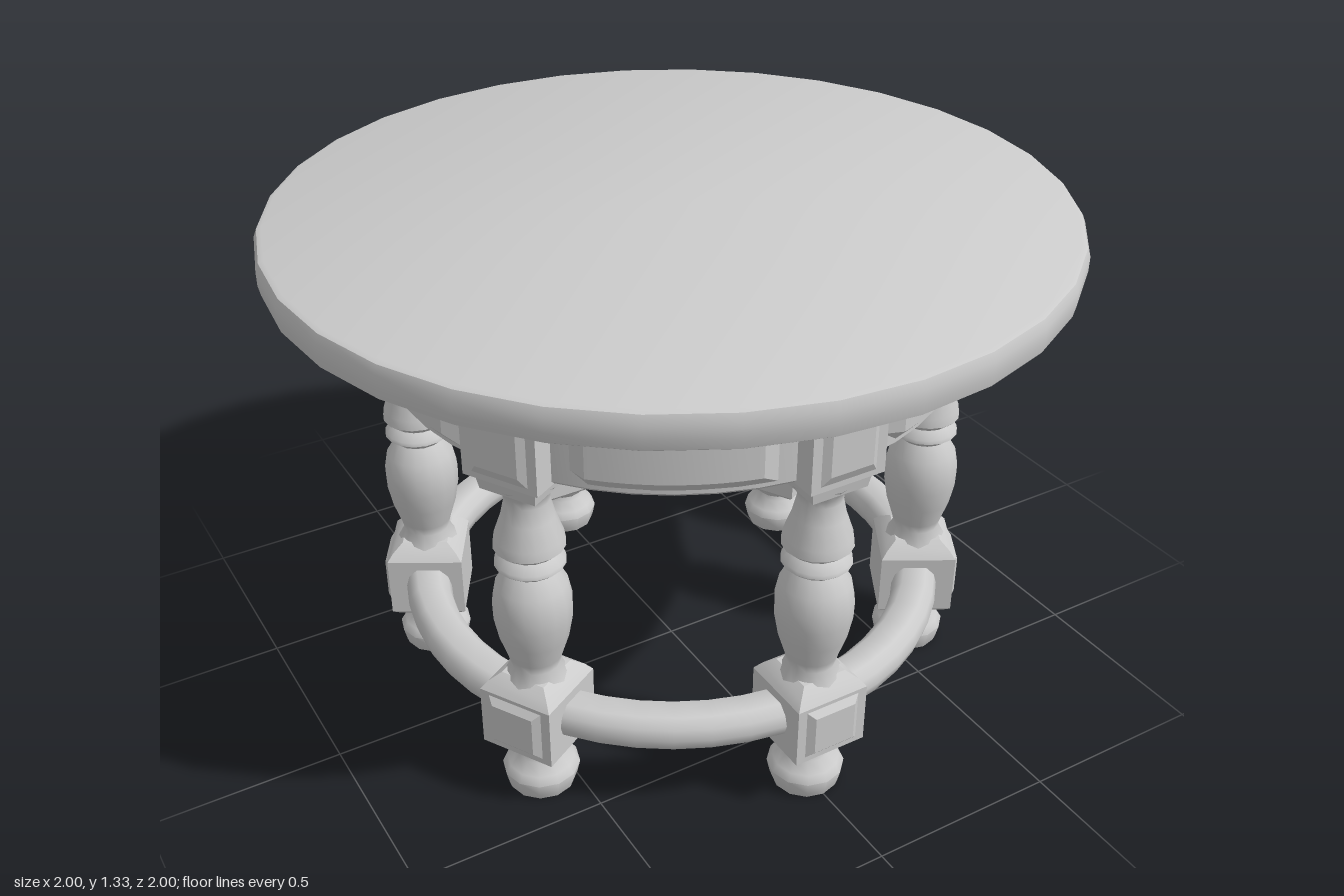
import * as THREE from 'three';
import { toCreasedNormals } from 'three/addons/utils/BufferGeometryUtils.js';

const material = new THREE.MeshStandardMaterial({ color: 0xcccccc });
const LEGS = 6;
const LEG_RADIUS = 0.67;

// Turned solid from [radius, y] pairs listed bottom to top
function turned(profile, sides, crease, start = 0, sweep = Math.PI * 2) {
  const points = profile.map(([r, y]) => new THREE.Vector2(r, y));
  return toCreasedNormals(new THREE.LatheGeometry(points, sides, start, sweep), crease);
}

// Square block from [half width, y] pairs
function squareBlock(profile) {
  return turned(profile.map(([h, y]) => [h * Math.SQRT2, y]), 4, 0.3, Math.PI / 4);
}

// Raised panel with bevelled sides, facing +z
function raisedPanel(width, height, depth) {
  const geometry = squareBlock([[0.5, 0], [0.38, depth], [0, depth]]);
  geometry.rotateX(Math.PI / 2);
  geometry.scale(width, height, 1);
  return toCreasedNormals(geometry, 0.3);
}

// Curved panel lying on the apron, its ends sloping back into the ring
function apronPanel() {
  const profile = [[0.715, 0.965], [0.745, 1.0], [0.745, 1.13], [0.715, 1.16]];
  const points = profile.map(([r, y]) => new THREE.Vector2(r, y));
  const segments = 10;
  const geometry = new THREE.LatheGeometry(
    points, segments, THREE.MathUtils.degToRad(11), THREE.MathUtils.degToRad(38));
  const position = geometry.attributes.position;
  for (let i = 0; i < position.count; i++) {
    const column = Math.floor(i / points.length);
    if (column > 0 && column < segments) continue;
    const k = 0.715 / Math.hypot(position.getX(i), position.getZ(i));
    position.setXYZ(i, position.getX(i) * k, position.getY(i), position.getZ(i) * k);
  }
  return toCreasedNormals(geometry, 0.4);
}

export function createModel() {
  const model = new THREE.Group();
  model.name = 'roundTable';

  const add = (parent, name, geometry, x = 0, y = 0, z = 0) => {
    const mesh = new THREE.Mesh(geometry, material);
    mesh.name = name;
    mesh.position.set(x, y, z);
    parent.add(mesh);
  };

  // Round top with a slightly eased edge
  add(model, 'tableTop', turned([
    [0, 1.235], [0.98, 1.235], [0.995, 1.245], [1, 1.27],
    [1, 1.305], [0.992, 1.325], [0.98, 1.33], [0, 1.33],
  ], 32, 0.6));

  // Apron ring under the top
  add(model, 'apron', turned([
    [0.63, 0.95], [0.71, 0.95], [0.72, 0.96], [0.72, 1.24], [0.63, 1.24], [0.63, 0.95],
  ], 48, 0.5));

  // Rounded stretcher ring joining the legs
  add(model, 'stretcher', turned([
    [0.64, 0.2], [0.70, 0.2], [0.722, 0.222], [0.73, 0.25], [0.722, 0.278], [0.70, 0.3],
    [0.64, 0.3], [0.618, 0.278], [0.61, 0.25], [0.618, 0.222], [0.64, 0.2],
  ], 48, 0.9));

  // Parts shared by all legs
  const foot = turned([
    [0, 0.005], [0.085, 0.005], [0.09, 0.02], [0.098, 0.055], [0.085, 0.075],
    [0.06, 0.1], [0.057, 0.115], [0.085, 0.145], [0.085, 0.16],
  ], 12, 0.8);
  const baluster = turned([
    [0.085, 0.34], [0.06, 0.385], [0.066, 0.41], [0.085, 0.47], [0.096, 0.53],
    [0.097, 0.575], [0.087, 0.625], [0.062, 0.665], [0.086, 0.685], [0.084, 0.695],
    [0.064, 0.715], [0.087, 0.735], [0.083, 0.76], [0.064, 0.815], [0.054, 0.86],
    [0.056, 0.88], [0.08, 0.915],
  ], 16, 0.9);
  const lowerBlock = squareBlock([
    [0, 0.145], [0.085, 0.145], [0.1, 0.16], [0.1, 0.325], [0.085, 0.345], [0.06, 0.365], [0, 0.365],
  ]);
  const upperBlock = squareBlock([
    [0, 0.905], [0.075, 0.905], [0.08, 0.935], [0.1, 0.95], [0.1, 1.24], [0, 1.24],
  ]);
  const lowerPanel = raisedPanel(0.15, 0.14, 0.014);
  const upperPanel = raisedPanel(0.15, 0.21, 0.012);
  const curvedPanel = apronPanel();

  // Six legs around the ring, each with the apron panel beside it
  for (let i = 0; i < LEGS; i++) {
    const bay = new THREE.Group();
    bay.name = `legBay${i + 1}`;
    bay.rotation.y = (i / LEGS) * Math.PI * 2;
    add(bay, 'foot', foot, 0, 0, LEG_RADIUS);
    add(bay, 'lowerBlock', lowerBlock, 0, 0, LEG_RADIUS);
    add(bay, 'lowerBlockPanel', lowerPanel, 0, 0.245, LEG_RADIUS + 0.1);
    add(bay, 'baluster', baluster, 0, 0, LEG_RADIUS);
    add(bay, 'upperBlock', upperBlock, 0, 0, LEG_RADIUS);
    add(bay, 'upperBlockPanel', upperPanel, 0, 1.07, LEG_RADIUS + 0.1);
    add(bay, 'apronPanel', curvedPanel);
    model.add(bay);
  }

  return model;
}
